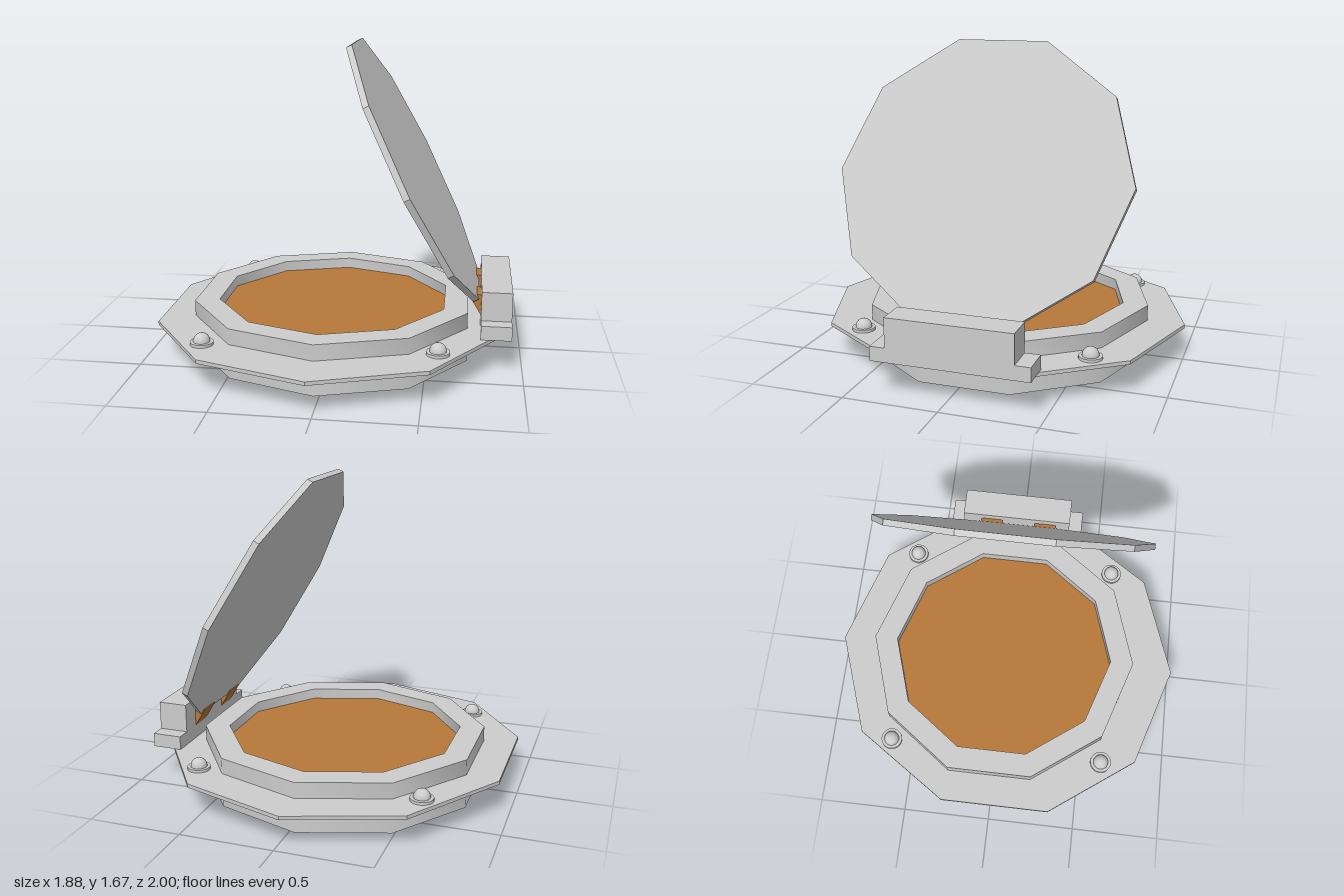
import * as THREE from 'three';
import { toCreasedNormals } from 'three/addons/utils/BufferGeometryUtils.js';

const metal = new THREE.MeshStandardMaterial({ color: 0xcccccc });
metal.name = 'light grey metal';
const amber = new THREE.MeshStandardMaterial({ color: 0xb77839 });
amber.name = 'amber brown';

const CX = -0.03, CZ = -0.02; // axis of the round body

function add(parent, name, geometry, material, x = 0, y = 0, z = 0) {
  const mesh = new THREE.Mesh(geometry, material);
  mesh.name = name;
  mesh.position.set(x, y, z);
  parent.add(mesh);
  return mesh;
}

// Box given by its limits on each axis
function addBox(parent, name, material, x0, x1, y0, y1, z0, z1) {
  return add(parent, name, new THREE.BoxGeometry(x1 - x0, y1 - y0, z1 - z0), material,
    (x0 + x1) / 2, (y0 + y1) / 2, (z0 + z1) / 2);
}

// Ten corners, the first one on the z axis
function decagon(radius) {
  return Array.from({ length: 10 }, (_, i) => {
    const a = Math.PI / 2 + i * Math.PI / 5;
    return new THREE.Vector2(radius * Math.cos(a), radius * Math.sin(a));
  });
}

// Raises an x / -z outline upwards from y = 0
function raise(shape, depth) {
  return new THREE.ExtrudeGeometry(shape, { depth, bevelEnabled: false }).rotateX(-Math.PI / 2);
}

export function createModel() {
  const model = new THREE.Group();
  model.name = 'porthole';

  // Ring wall, smooth around its sides
  const ring = new THREE.Shape(decagon(0.78));
  ring.holes.push(new THREE.Path(decagon(0.645)));
  add(model, 'ringWall', toCreasedNormals(raise(ring, 0.27), 0.7), metal, CX, 0, CZ);

  // Mounting flange: half of the slightly skewed outline, repeated by a half turn
  const half = [[-0.03, -1], [-0.6, -0.8], [-0.945, -0.28], [-0.945, 0.34], [-0.6, 0.82]];
  const outline = [...half, ...half.map(([x, z]) => [2 * CX - x, -z])]
    .map(([x, z]) => new THREE.Vector2(x, -z));
  add(model, 'flange', raise(new THREE.Shape(outline), 0.02), metal, 0, 0.165, 0);

  // Pane inside the ring
  add(model, 'pane', raise(new THREE.Shape(decagon(0.646)), 0.026), amber, CX, 0.184, CZ);

  // Domed bolts on washers
  for (const [x, z] of [[-0.625, -0.615], [-0.625, 0.62], [0.57, 0.59], [0.57, -0.63]]) {
    const bolt = new THREE.Group();
    bolt.name = 'bolt';
    bolt.position.set(x, 0.185, z);
    add(bolt, 'washer', new THREE.CylinderGeometry(0.06, 0.06, 0.015, 24), metal, 0, 0.0075, 0);
    add(bolt, 'boltHead',
      new THREE.SphereGeometry(0.043, 24, 10, 0, Math.PI * 2, 0, Math.PI / 2), metal, 0, 0.017, 0);
    add(bolt, 'boltNeck', new THREE.CylinderGeometry(0.043, 0.043, 0.012, 24, 1, true), metal, 0, 0.011, 0);
    model.add(bolt);
  }

  // Open lid
  const lidGeometry = new THREE.CylinderGeometry(0.78, 0.78, 0.033, 10).toNonIndexed();
  lidGeometry.computeVertexNormals();
  const lid = add(model, 'lid', lidGeometry, metal, 0.414, 1.003, CZ);
  lid.rotation.z = -1.096;

  // Hinge block with a wider foot
  const hinge = new THREE.Group();
  hinge.name = 'hinge';
  addBox(hinge, 'hingeBlock', metal, 0.78, 0.94, 0.185, 0.415, -0.36, 0.295);
  for (const [z0, z1] of [[-0.44, -0.36], [0.295, 0.375]]) {
    addBox(hinge, 'hingeFoot', metal, 0.78, 0.94, 0.185, 0.26, z0, z1);
  }

  // Lugs joining the lid to the block
  const lug = new THREE.Shape([[0.722, 0.355], [0.782, 0.255], [0.782, 0.37], [0.752, 0.375]]
    .map(([x, y]) => new THREE.Vector2(x, y)));
  for (const z of [-0.25, 0.08]) {
    add(hinge, 'hingeLug',
      new THREE.ExtrudeGeometry(lug, { depth: 0.13, bevelEnabled: false }), amber, 0, 0, z);
  }
  model.add(hinge);

  return model;
}
